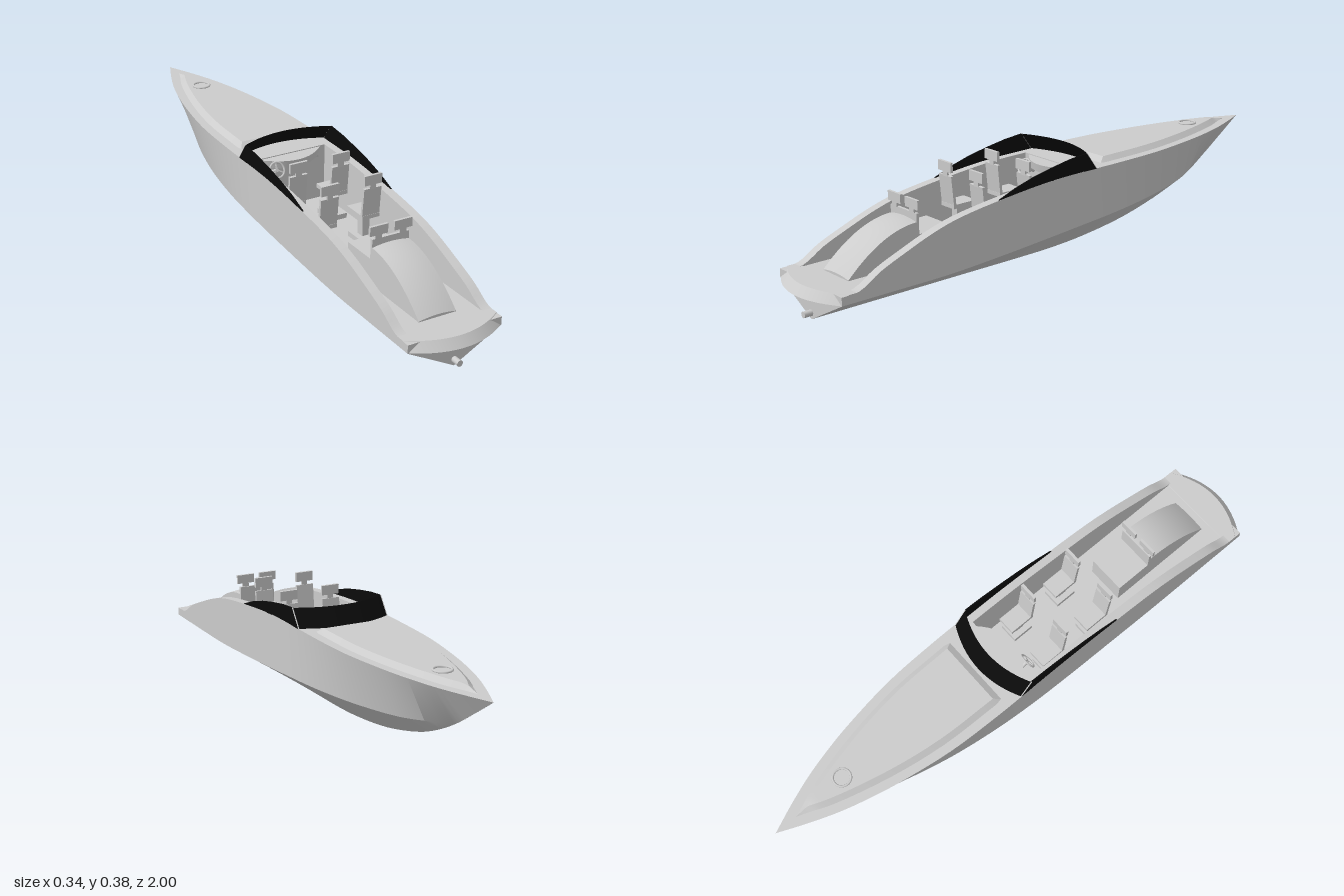
import * as THREE from 'three';
import { toCreasedNormals } from 'three/addons/utils/BufferGeometryUtils.js';

const grey = new THREE.MeshStandardMaterial({ color: 0xcccccc, side: THREE.DoubleSide });
const black = new THREE.MeshStandardMaterial({ color: 0x0a0a0a, side: THREE.DoubleSide });

function add(parent, name, geometry, x = 0, y = 0, z = 0, material = grey) {
  const mesh = new THREE.Mesh(geometry, material);
  mesh.name = name;
  mesh.position.set(x, y, z);
  parent.add(mesh);
  return mesh;
}

// Skin joining equal-length cross-sections, with optional end caps
function loft(sections, capStart = false, capEnd = false, crease = 0.45) {
  const n = sections[0].length, last = (sections.length - 1) * n, index = [];
  for (let i = 0; i < sections.length - 1; i++) {
    for (let j = 0; j < n - 1; j++) {
      const a = i * n + j, b = a + n;
      index.push(a, b, a + 1, b, b + 1, a + 1);
    }
  }
  for (let j = 1; j < n - 1; j++) {
    if (capStart) index.push(0, j, j + 1);
    if (capEnd) index.push(last, last + j + 1, last + j);
  }
  const g = new THREE.BufferGeometry();
  g.setAttribute('position', new THREE.Float32BufferAttribute(sections.flat(2), 3));
  g.setIndex(index);
  return toCreasedNormals(g, crease);
}

const range = (n, f) => Array.from({ length: n + 1 }, (_, i) => f(i / n, i));

// Hull stations: z, sheer half width, sheer y, chine half width, chine y, keel y
const stations = [
  [-1, 0, .317, 0, .317, .317], [-.9, .043, .317, 0, .249, .249],
  [-.8, .08, .317, .004, .187, .184], [-.7, .108, .317, .045, .17, .132],
  [-.6, .13, .317, .082, .158, .092], [-.4, .16, .317, .13, .146, .04],
  [-.2, .169, .317, .157, .136, .012], [-.05, .17, .317, .167, .129, .002],
  [.1, .17, .314, .17, .119, 0], [.3, .17, .297, .17, .105, 0],
  [.5, .17, .27, .17, .094, 0], [.6, .17, .244, .17, .092, 0],
  [.7, .17, .208, .17, .092, 0], [.8, .17, .168, .17, .092, 0],
  [.88, .17, .124, .17, .092, 0], [.945, .17, .12, .17, .092, 0],
];
const SUB = 4, STEPS = (stations.length - 1) * SUB;
const BULKHEAD = 7 * SUB, FLOOR = .12, INNER = .138;

function buildHull(boat) {
  const line = f => new THREE.CatmullRomCurve3(stations.map(s => new THREE.Vector3(...f(s))));
  const sheer = line(s => [s[1], s[2], s[0]]);
  const chine = line(s => [s[3], s[4], s[0]]);
  const keel = line(s => [0, s[5], s[0]]);

  const hull = range(STEPS, t => {
    const s = sheer.getPoint(t), c = chine.getPoint(t), k = keel.getPoint(t);
    return [[s.x, s.y, s.z], [c.x, c.y, c.z], [0, k.y, k.z], [-c.x, c.y, c.z], [-s.x, s.y, s.z]];
  });
  add(boat, 'hull', loft(hull, false, true));

  // Foredeck that drops at the bulkhead into the cockpit well
  const deckSection = (i, open) => {
    const s = sheer.getPoint(i / STEPS), w = Math.min(INNER, s.x * .81);
    const y = open ? Math.min(FLOOR, s.y) : s.y;
    return [[-s.x, s.y, s.z], [-w, s.y, s.z], [-w, y, s.z], [w, y, s.z], [w, s.y, s.z], [s.x, s.y, s.z]];
  };
  const deck = [];
  for (let i = 0; i <= BULKHEAD; i++) deck.push(deckSection(i, false));
  for (let i = BULKHEAD; i <= STEPS; i++) deck.push(deckSection(i, true));
  add(boat, 'deckAndCockpit', loft(deck));

  // Raised foredeck panel with sloping edges
  const outline = new THREE.CatmullRomCurve3([
    [0, -.92], [.02, -.87], [.048, -.8], [.1, -.6], [.13, -.4], [.137, -.18],
  ].map(([x, z]) => new THREE.Vector3(x, 0, z)));
  const panel = range(20, t => {
    const p = outline.getPoint(t), w = Math.max(0, p.x - .02), h = .317 + .016 * Math.min(1, p.x / .03);
    return [[-p.x, .316, p.z], [-w, h, p.z], [w, h, p.z], [p.x, .316, p.z]];
  });
  panel.push([[-.132, .316, -.155], [-.132, .316, -.155], [.132, .316, -.155], [.132, .316, -.155]]);
  add(boat, 'foredeckPanel', loft(panel));

  const ring = add(boat, 'hatchRing', new THREE.TorusGeometry(.03, .004, 8, 32), 0, .335, -.725);
  ring.rotation.x = Math.PI / 2;

  // Swim platform with a bowed, sloping rear edge
  const platform = range(20, t => {
    const x = .17 - .34 * t, bow = .057 * (1 - (x / .17) ** 2);
    return [[x, .092, .86], [x, .122, .88], [x, .122, .918 + bow], [x, .092, .943 + bow], [x, .092, .86]];
  });
  add(boat, 'swimPlatform', loft(platform, true, true));

  const outlet = add(boat, 'sternOutlet', new THREE.CylinderGeometry(.0105, .0105, .05, 20), 0, .022, .95);
  outlet.rotation.x = Math.PI / 2;
}

function buildWindscreen(boat) {
  const screen = range(20, t => {
    const x = -.17 + .34 * t, z = -.145 + .045 * (x / .17) ** 2;
    return [[x, .317, z], [x, .378, z + .045]];
  });
  add(boat, 'frontWindscreen', loft(screen), 0, 0, 0, black);

  const profile = [[.33, .294], [.26, .32], [.18, .342], [.1, .358], [.02, .371], [-.055, .378],
    [-.1, .316], [0, .316], [.1, .313], [.2, .306]];
  const side = new THREE.ExtrudeGeometry(
    new THREE.Shape(profile.map(([z, y]) => new THREE.Vector2(-z, y))), { depth: .005, bevelEnabled: false });
  side.rotateY(Math.PI / 2);
  const pillar = new THREE.CylinderGeometry(.0022, .0022, .077, 8);
  for (const s of [1, -1]) {
    add(boat, 'sideWindow', side, s > 0 ? .165 : -.17, 0, 0, black);
    add(boat, 'windscreenPillar', pillar, s * .168, .347, -.0775).rotation.x = Math.atan2(.045, .061);
  }
}

// Pedestal seat facing the bow
function buildSeat(boat, x, z) {
  const seat = new THREE.Group();
  seat.name = 'seat';
  seat.position.set(x, 0, z);
  boat.add(seat);
  add(seat, 'seatBase', new THREE.BoxGeometry(.068, .018, .08), 0, .13, 0);
  add(seat, 'seatPedestal', new THREE.BoxGeometry(.027, .08, .03), 0, .178, 0);
  add(seat, 'seatCushion', new THREE.BoxGeometry(.066, .014, .095), 0, .221, -.004);
  const back = add(seat, 'seatBack', new THREE.BoxGeometry(.066, .112, .01), 0, .272, .042);
  back.rotation.x = .1;
  add(seat, 'headrestNeck', new THREE.BoxGeometry(.022, .02, .008), 0, .334, .049);
  add(seat, 'headrest', new THREE.BoxGeometry(.066, .034, .01), 0, .358, .05);
}

function buildCockpit(boat) {
  for (const z of [.1, .3]) for (const x of [.081, -.081]) buildSeat(boat, x, z);

  // Rear bench
  add(boat, 'benchSeat', new THREE.BoxGeometry(.136, .09, .135), 0, .165, .51);
  add(boat, 'benchBack', new THREE.BoxGeometry(.136, .16, .01), 0, .2, .58);
  for (const s of [1, -1]) {
    add(boat, 'benchHeadrestNeck', new THREE.BoxGeometry(.024, .016, .007), s * .045, .286, .583);
    add(boat, 'benchHeadrest', new THREE.BoxGeometry(.066, .032, .009), s * .045, .309, .583);
  }

  // Engine cover sweeping down to the platform
  const cover = range(20, t => {
    const top = .122 + .13 * (1 - t * t), z = .58 + .27 * t;
    return [[-.068, .119, z], ...range(8, u => {
      const x = -.068 + .136 * u;
      return [x, top + .007 * (1 - (x / .068) ** 2), z];
    }), [.068, .119, z]];
  });
  add(boat, 'engineCover', loft(cover, true, true));

  // Dashboard with bowed face
  const dash = range(16, t => {
    const x = .12 - .24 * t, z = -.05 + .06 * (1 - (x / .12) ** 2);
    return [[x, .314, -.052], [x, .314, z], [x, .285, z - .006], [x, .275, -.052]];
  });
  add(boat, 'dashboard', loft(dash));

  // Steering wheel
  const wheel = new THREE.Group();
  wheel.name = 'steeringWheel';
  wheel.position.set(-.081, .29, .005);
  wheel.rotation.x = -.5;
  boat.add(wheel);
  add(wheel, 'wheelRim', new THREE.TorusGeometry(.027, .0035, 8, 28));
  for (let i = 0; i < 3; i++) {
    const a = Math.PI / 2 + i * Math.PI * 2 / 3;
    add(wheel, 'wheelSpoke', new THREE.BoxGeometry(.026, .005, .003),
      Math.cos(a) * .013, Math.sin(a) * .013, 0).rotation.z = a;
  }
  add(wheel, 'steeringColumn', new THREE.CylinderGeometry(.006, .006, .05, 14), 0, 0, -.024).rotation.x = Math.PI / 2;
}

export function createModel() {
  const boat = new THREE.Group();
  boat.name = 'speedboat';
  buildHull(boat);
  buildWindscreen(boat);
  buildCockpit(boat);
  return boat;
}
